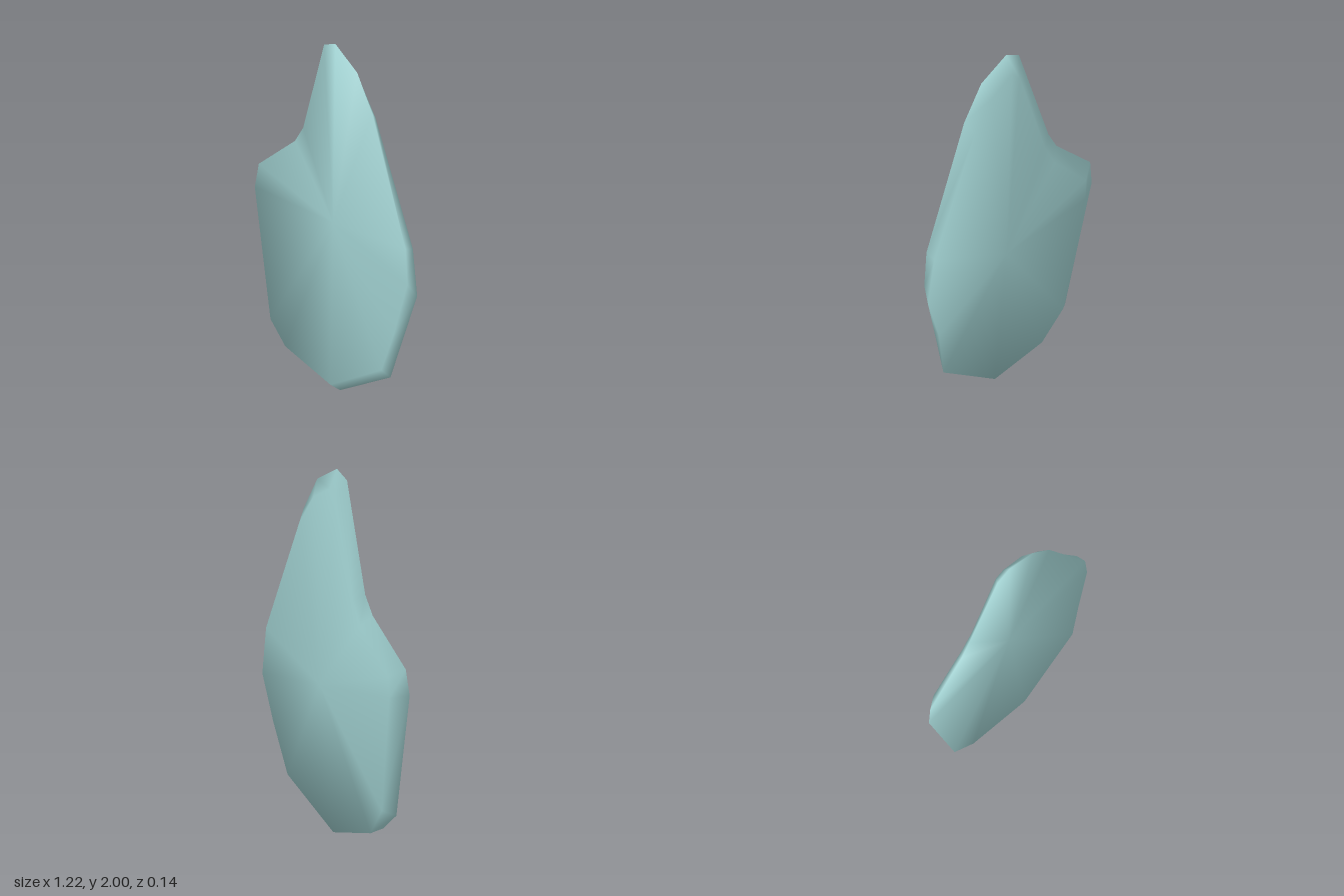
import * as THREE from 'three';

// Rim stations, counter-clockwise from the tip: front edge, then back edge
const RIM = [
  [[0.01, 2.0, 0], [0.01, 1.9, -0.045]],
  [[-0.08, 1.96, 0], [-0.04, 1.86, -0.05]],
  [[-0.27, 1.39, -0.02], [-0.21, 1.35, -0.06]],
  [[-0.33, 1.29, -0.015], [-0.28, 1.23, -0.06]],
  [[-0.59, 1.06, 0.01], [-0.51, 1.01, -0.045]],
  [[-0.61, 0.92, 0.02], [-0.51, 0.89, -0.04]],
  [[-0.45, 0.22, 0.05], [-0.39, 0.24, 0]],
  [[-0.32, 0.115, 0.06], [-0.26, 0.08, 0.02]],
  [[0.05, 0.04, 0.068], [0.07, 0, 0.02]],
  [[0.43, 0.27, 0.045], [0.45, 0.22, 0]],
  [[0.5, 0.5, 0.02], [0.52, 0.5, -0.042]],
  [[0.585, 0.82, 0], [0.605, 0.74, -0.05]],
  [[0.57, 1.02, 0], [0.565, 1.0, -0.055]],
  [[0.305, 1.71, 0], [0.275, 1.65, -0.05]],
  [[0.185, 1.9, 0], [0.15, 1.82, -0.05]],
];
const FRONT_CENTRE = [0, 0.95, 0.008];
const BACK_CENTRE = [0.07, 0.82, -0.068];

// Smooth geometry from triangles and quads, each face counting once per corner
function smoothGeometry(points, faces) {
  const corners = points.map((p) => new THREE.Vector3(...p));
  const normals = points.map(() => new THREE.Vector3());
  const index = [];
  const u = new THREE.Vector3(), v = new THREE.Vector3();
  for (const face of faces) {
    const [a, b, c, d = a] = face;
    u.subVectors(corners[c], corners[a]);
    v.subVectors(corners[d], corners[b]);
    u.cross(v).normalize();
    face.forEach((id) => normals[id].add(u));
    index.push(a, b, c);
    if (face.length === 4) index.push(a, c, d);
  }
  const flat = normals.flatMap((n) => n.normalize().toArray());
  const geometry = new THREE.BufferGeometry();
  geometry.setAttribute('position', new THREE.Float32BufferAttribute(points.flat(), 3));
  geometry.setAttribute('normal', new THREE.Float32BufferAttribute(flat, 3));
  geometry.setIndex(index);
  return geometry;
}

// Closed slab: front fan, bevelled edge and back fan
function slabGeometry() {
  const n = RIM.length;
  const front = RIM.map((s) => s[0]);
  const back = RIM.map((s) => s[1]);
  const faces = [];
  for (let i = 0; i < n; i++) {
    const j = (i + 1) % n;
    faces.push([2 * n, i, j], [i, n + i, n + j, j], [n + i, 2 * n + 1, n + j]);
  }
  return smoothGeometry([...front, ...back, FRONT_CENTRE, BACK_CENTRE], faces);
}

export function createModel() {
  const group = new THREE.Group();
  group.name = 'shard';
  const material = new THREE.MeshStandardMaterial({ color: 0xa0d0d0 });
  material.name = 'pale teal';
  const slab = new THREE.Mesh(slabGeometry(), material);
  slab.name = 'shardSlab';
  group.add(slab);
  return group;
}
